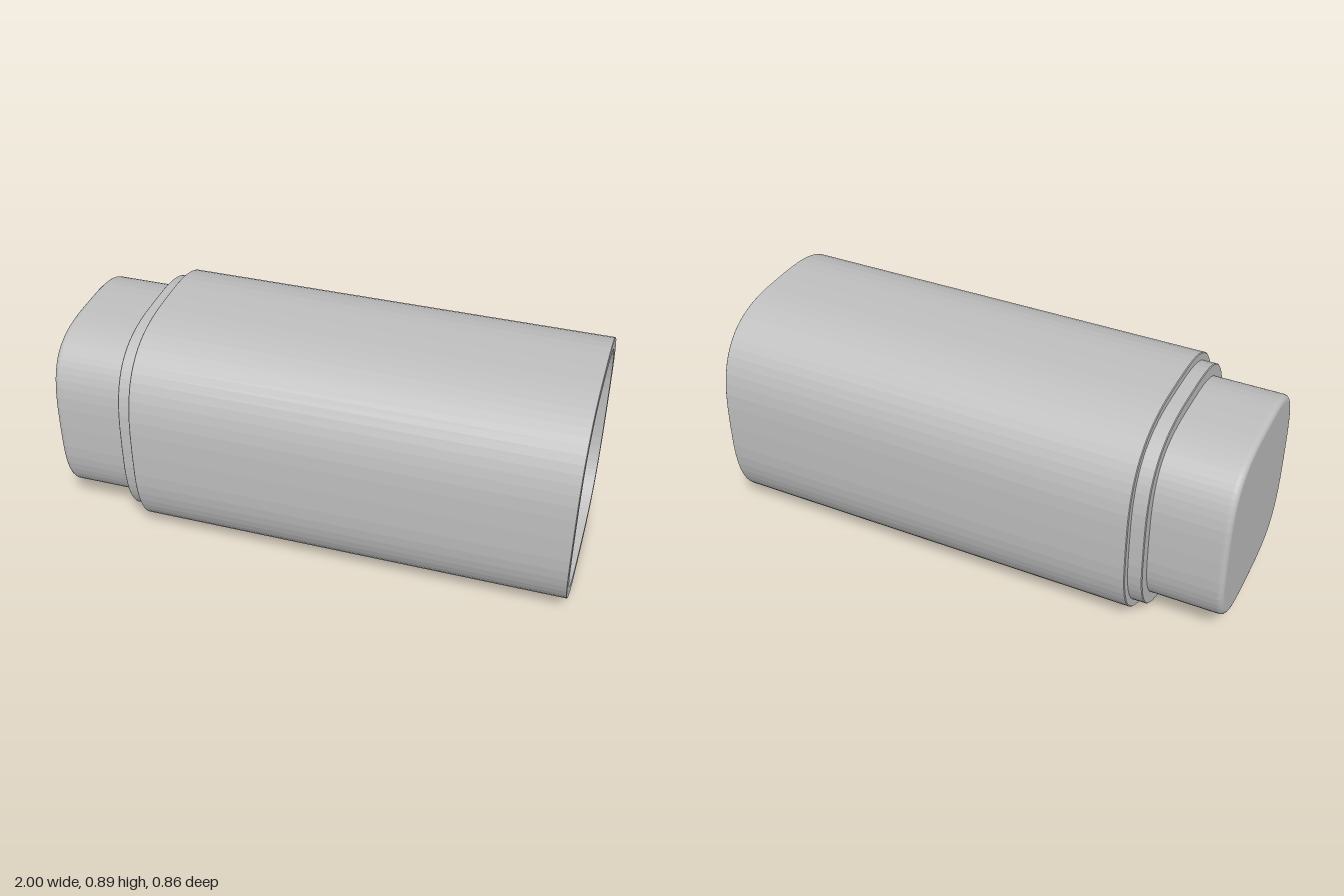
import * as THREE from 'three';

const SEGMENTS = 64;
const HALF_Z = 0.432, HALF_Y = 0.444, POWER = 3;

// Rounded-square outline, offset inward by inset; an inset of null is the centre point
function ring(x, inset) {
  const points = [];
  for (let j = 0; j < SEGMENTS; j++) {
    if (inset === null) { points.push([x, HALF_Y, 0]); continue; }
    const t = (j / SEGMENTS) * Math.PI * 2;
    const bend = (v, p) => Math.sign(v) * Math.pow(Math.abs(v), p);
    const z = bend(Math.cos(t), 2 / POWER), y = bend(Math.sin(t), 2 / POWER);
    const nz = bend(z, POWER - 1) / HALF_Z, ny = bend(y, POWER - 1) / HALF_Y;
    const len = Math.hypot(nz, ny);
    points.push([x, HALF_Y + y * HALF_Y - inset * ny / len, z * HALF_Z - inset * nz / len]);
  }
  return points;
}

// Skin a list of [x, inset] stations with flat facets
function sweep(name, profile, material) {
  const rings = profile.map(([x, inset]) => ring(x, inset));
  const positions = [];
  for (let i = 0; i < rings.length - 1; i++) {
    for (let j = 0; j < SEGMENTS; j++) {
      const k = (j + 1) % SEGMENTS;
      const a = rings[i][j], b = rings[i + 1][j], c = rings[i + 1][k], d = rings[i][k];
      if (profile[i + 1][1] !== null) positions.push(...a, ...b, ...c);
      if (profile[i][1] !== null) positions.push(...a, ...c, ...d);
    }
  }
  const geometry = new THREE.BufferGeometry();
  geometry.setAttribute('position', new THREE.Float32BufferAttribute(positions, 3));
  geometry.computeVertexNormals();
  const mesh = new THREE.Mesh(geometry, material);
  mesh.name = name;
  return mesh;
}

// Quarter-round stations from angle 0 to 90 degrees
function fillet(steps, station) {
  return Array.from({ length: steps + 1 }, (_, i) => station((i / steps) * Math.PI / 2));
}

export function createModel() {
  const group = new THREE.Group();
  group.name = 'roundedSleeve';
  const grey = new THREE.MeshStandardMaterial({ color: 0xc0c0c0 });
  grey.name = 'grey';

  // Closed neck with a softened end
  const r = 0.022;
  group.add(sweep('neck', [
    [-1, null],
    ...fillet(5, (a) => [-1 + r * (1 - Math.cos(a)), 0.076 + r * (1 - Math.sin(a))]),
    [-0.715, 0.076],
  ], grey));

  // Stepped collar
  group.add(sweep('collar', [
    [-0.715, 0.076], [-0.715, 0.033], [-0.712, 0.03], [-0.66, 0.03],
  ], grey));

  // Outer sleeve and its open rim
  group.add(sweep('sleeve', [
    [-0.66, 0.03], [-0.66, 0.003], [-0.657, 0], [0.998, 0], [1, 0.002], [1, 0.044],
  ], grey));

  // Hollow inside, rounded into its floor
  const floor = -0.62, f = 0.03;
  group.add(sweep('cavity', [
    [1, 0.044],
    ...fillet(5, (a) => [floor + f * (1 - Math.sin(a)), 0.044 + f * (1 - Math.cos(a))]),
    [floor, null],
  ], grey));

  return group;
}
